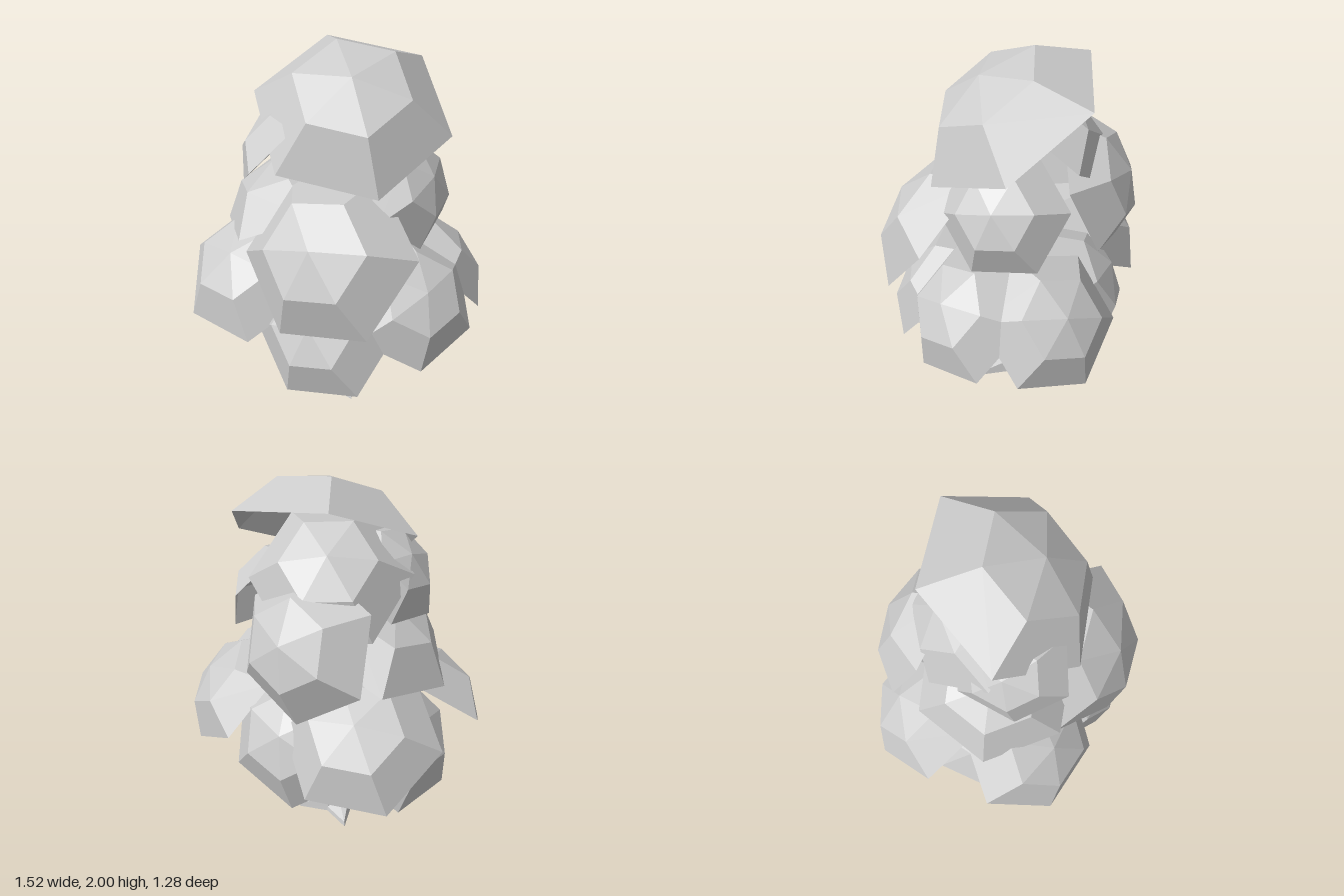
import * as THREE from 'three';

const material = new THREE.MeshStandardMaterial({
  color: 0xcccccc, flatShading: true, side: THREE.DoubleSide,
});

// Open six-sided leaf cap of unit rim radius, opening along -y
const capGeometry = new THREE.LatheGeometry(
  [[1, 0], [0.58, 0.42], [0, 0.56]].map(([r, y]) => new THREE.Vector2(r, y)), 6);

// Places a cap: rim centre, direction of its crown, a point one rim corner aims at, rim radius
function leafCap(name, centre, crown, corner, radius) {
  const c = new THREE.Vector3(...centre);
  const n = new THREE.Vector3(...crown).normalize();
  const u = new THREE.Vector3(...corner).sub(c);
  u.addScaledVector(n, -u.dot(n)).normalize();
  const side = new THREE.Vector3().crossVectors(n, u);
  const mesh = new THREE.Mesh(capGeometry, material);
  mesh.name = name;
  mesh.quaternion.setFromRotationMatrix(new THREE.Matrix4().makeBasis(side, n, u));
  mesh.position.copy(c);
  mesh.scale.setScalar(radius);
  return mesh;
}

const caps = [
  ['topLeaves', [0.085, 1.685, 0], [0.18, 0.85, 0.5], [0.57, 1.62, -0.06], 0.487],
  // upper tier
  ['upperBackLeaves', [-0.06, 1.55, -0.15], [-0.3, 0.75, -0.6], [-0.31, 1.34, -0.23], 0.39],
  ['upperSideLeaves', [-0.23, 1.53, 0.09], [-0.72, 0.65, 0], [-0.445, 1.34, 0.17], 0.3],
  // middle tier
  ['middleFrontLeaves', [0.11, 1.1, 0.36], [-0.08, 0.585, 0.81], [-0.05, 0.77, 0.59], 0.445],
  ['middleLeftLeaves', [0.36, 1.345, -0.01], [0.84, 0.5, 0.15], [0.49, 1.08, 0.12], 0.32],
  ['middleBackLeaves', [-0.07, 1.29, -0.38], [0.05, 0.39, -0.92], [-0.115, 0.93, -0.54], 0.38],
  ['middleRightLeaves', [-0.22, 1.18, 0.01], [-0.42, 0.9, 0.05], [-0.58, 1.0, 0.06], 0.41],
  // lower tier
  ['lowerFrontLeaves', [0.09, 0.67, 0.37], [-0.08, 0.56, 0.82], [-0.04, 0.37, 0.56], 0.383],
  ['lowerBackLeaves', [0.02, 0.715, -0.34], [-0.1, 0.5, -0.86], [-0.06, 0.39, -0.52], 0.385],
  ['lowerRightLeaves', [-0.353, 0.67, -0.03], [-0.77, 0.64, 0], [-0.6, 0.373, 0.11], 0.41],
  ['frontRightLeaves', [-0.37, 0.83, 0.245], [-0.2, 0.77, 0.6], [-0.63, 0.61, 0.44], 0.4],
  ['backRightLeaves', [-0.34, 0.83, -0.32], [-0.2, 0.77, -0.6], [-0.62, 0.61, -0.53], 0.4],
  ['frontLeftLeaves', [0.465, 0.8, 0.155], [0.56, 0.66, 0.49], [0.58, 0.49, 0.35], 0.365],
  ['backLeftLeaves', [0.465, 0.8, -0.25], [0.56, 0.66, -0.49], [0.58, 0.49, -0.445], 0.365],
];

// Flared foot: four pointed roots on the diagonals around a square trunk, hollow below
function rootGeometry() {
  const geometry = new THREE.CylinderGeometry(1, 1, 1, 8, 2);
  const p = geometry.attributes.position;
  const profile = [ // height, radius towards the root tips, radius between them
    [0, 0.22, 0.1],
    [0.025, 0.21, 0.095],
    [0.08, 0.06, 0.085],
  ];
  for (let i = 0; i < p.count; i++) {
    const angle = Math.atan2(p.getX(i), p.getZ(i));
    const atCentre = Math.hypot(p.getX(i), p.getZ(i)) < 0.5;
    const onDiagonal = Math.abs(Math.sin(2 * angle)) > 0.5;
    const [y, tip, valley] = profile[Math.round((p.getY(i) + 0.5) * 2)];
    const r = atCentre ? 0 : onDiagonal ? tip : valley;
    p.setXYZ(i, r * Math.sin(angle), atCentre ? 0.06 : y, r * Math.cos(angle));
  }
  return geometry;
}

// Tapering four-sided limb between two points
function limb(name, from, to, r0, r1) {
  const a = new THREE.Vector3(...from), d = new THREE.Vector3(...to).sub(a);
  const mesh = new THREE.Mesh(new THREE.CylinderGeometry(r1, r0, d.length(), 4), material);
  mesh.name = name;
  mesh.position.copy(a).addScaledVector(d, 0.5);
  mesh.quaternion.setFromUnitVectors(new THREE.Vector3(0, 1, 0), d.normalize());
  return mesh;
}

export function createModel() {
  const tree = new THREE.Group();
  tree.name = 'tree';

  // Trunk, roots and forked branches
  const wood = new THREE.Group();
  wood.name = 'wood';
  wood.position.set(0.01, 0, 0.005);
  const roots = new THREE.Mesh(rootGeometry(), material);
  roots.name = 'roots';
  wood.add(roots, limb('trunk', [0, 0.05, 0], [0, 0.5, 0], 0.085, 0.085));
  for (const sx of [-1, 1]) for (const sz of [-1, 1]) {
    wood.add(limb('branch', [0.02 * sx, 0.47, 0.02 * sz], [0.18 * sx, 0.62, 0.16 * sz], 0.055, 0.04));
  }
  tree.add(wood);

  // Foliage
  const foliage = new THREE.Group();
  foliage.name = 'foliage';
  for (const cap of caps) foliage.add(leafCap(...cap));
  tree.add(foliage);
  return tree;
}
